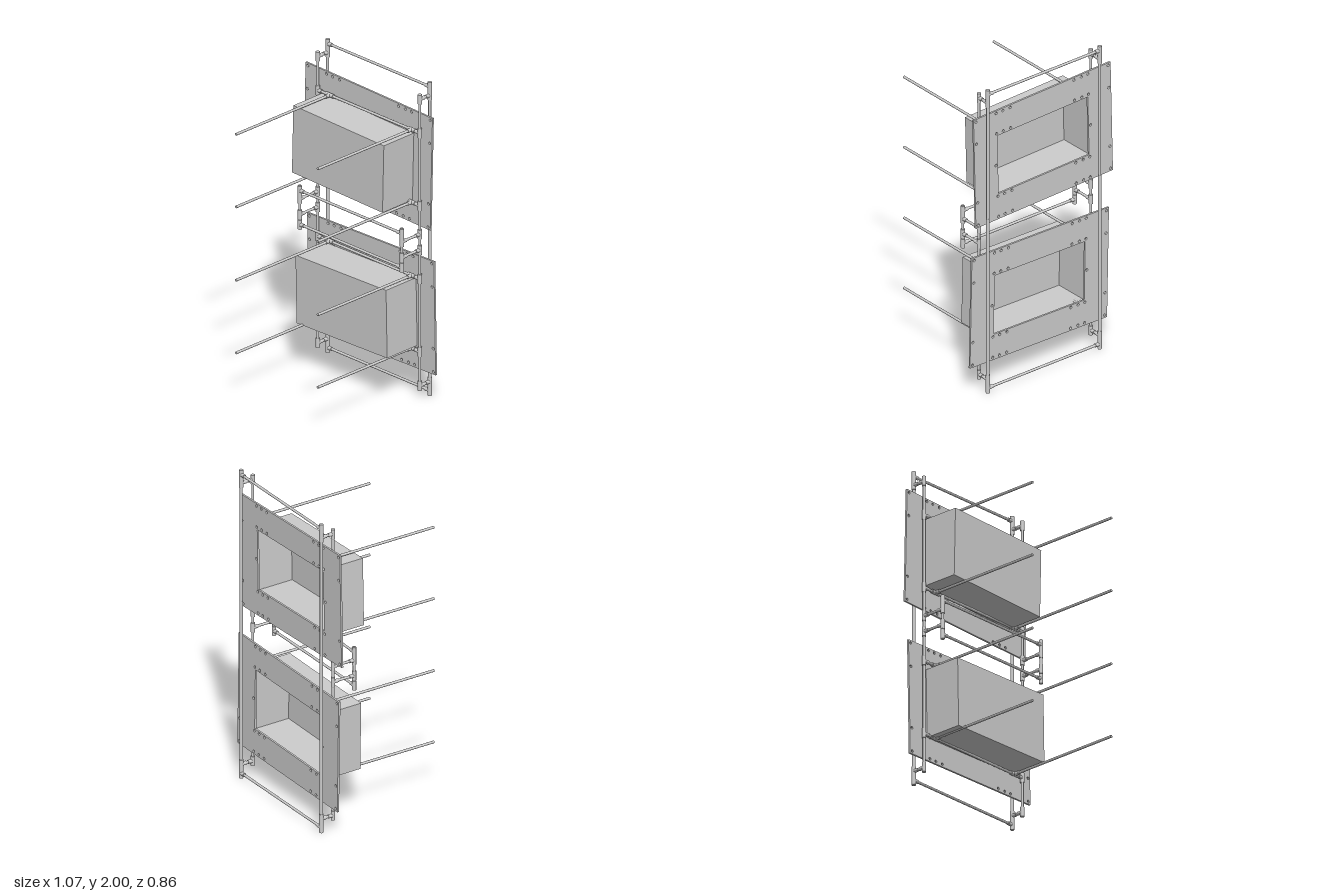
import * as THREE from 'three';

const mat = new THREE.MeshStandardMaterial({ color: 0xcccccc });
const PIPE = 0.008, SLEEVE = 0.0125;
const LEFT = 0.435, RIGHT = -0.4;             // upright x positions
const BACK = -0.418, FRONT = -0.337, MID = -0.19; // pipe planes in z

const V = (x, y, z) => new THREE.Vector3(x, y, z);

// Capped pipe between two points
function pipe(parent, name, a, b, r = PIPE) {
  const dir = b.clone().sub(a);
  const mesh = new THREE.Mesh(new THREE.CylinderGeometry(r, r, dir.length(), 20), mat);
  mesh.position.copy(a).add(b).multiplyScalar(0.5);
  mesh.quaternion.setFromUnitVectors(V(0, 1, 0), dir.normalize());
  mesh.name = name;
  parent.add(mesh);
}

// T fitting: a sleeve along the run and a short branch
function tee(parent, at, run, branch) {
  const g = new THREE.Group();
  g.name = 'teeFitting';
  pipe(g, 'sleeve', at.clone().addScaledVector(run, -0.03), at.clone().addScaledVector(run, 0.03), SLEEVE);
  pipe(g, 'branch', at, at.clone().addScaledVector(branch, 0.034), 0.0115);
  parent.add(g);
}

// Cross rail between the two uprights with a tee at each end
function rail(parent, name, y, z) {
  pipe(parent, name, V(RIGHT, y, z), V(LEFT, y, z));
  tee(parent, V(RIGHT, y, z), V(0, 1, 0), V(1, 0, 0));
  tee(parent, V(LEFT, y, z), V(0, 1, 0), V(-1, 0, 0));
}

// Short front-to-back connector with a tee at each end
function connector(parent, x, y, zA, zB) {
  pipe(parent, 'connector', V(x, y, zA), V(x, y, zB));
  tee(parent, V(x, y, zA), V(0, 1, 0), V(0, 0, 1));
  tee(parent, V(x, y, zB), V(0, 1, 0), V(0, 0, -1));
}

function rectPath(PathClass, w, h) {
  return new PathClass([[-1, -1], [1, -1], [1, 1], [-1, 1]]
    .map(([x, y]) => new THREE.Vector2(x * w / 2, y * h / 2)));
}

// Drilled plate with a rectangular window and a box projecting forward
function panel(name, x, y, tilt) {
  const g = new THREE.Group();
  g.name = name;
  const W = 1.03, H = 0.72, T = 0.012, bw = 0.735, bh = 0.43, depth = 0.247, wall = 0.01;

  // Plate and its bolt holes
  const shape = rectPath(THREE.Shape, W, H);
  shape.holes.push(rectPath(THREE.Path, 0.68, 0.385));
  const spots = [];
  for (const sx of [-1, 1]) {
    for (const sy of [-1, 1]) {
      spots.push([0.497 * sx, 0.343 * sy], [0.497 * sx, 0.195 * sy]);
      for (const hx of [0.345, 0.295, 0.24])
        spots.push([hx * sx, 0.343 * sy], [hx * sx, 0.208 * sy]);
    }
    spots.push([0.356 * sx, 0]);
  }
  for (const [hx, hy] of spots)
    shape.holes.push(new THREE.Path().absarc(hx, hy, 0.0085, 0, Math.PI * 2, true));
  const plate = new THREE.Mesh(
    new THREE.ExtrudeGeometry(shape, { depth: T, bevelEnabled: false, curveSegments: 10 }), mat);
  plate.position.z = -T / 2;
  plate.name = 'plate';
  g.add(plate);

  // Box walls and closed front
  const frame = rectPath(THREE.Shape, bw, bh);
  frame.holes.push(rectPath(THREE.Path, bw - 2 * wall, bh - 2 * wall));
  const walls = new THREE.Mesh(
    new THREE.ExtrudeGeometry(frame, { depth: depth - wall, bevelEnabled: false }), mat);
  walls.position.z = T / 2;
  walls.name = 'boxWalls';
  const face = new THREE.Mesh(new THREE.BoxGeometry(bw, bh, wall), mat);
  face.position.z = T / 2 + depth - wall / 2;
  face.name = 'boxFront';
  g.add(walls, face);

  g.position.set(x, y, -0.368);
  g.rotation.set(0, 0.008, tilt);
  return g;
}

export function createModel() {
  const model = new THREE.Group();
  model.name = 'panelRack';
  const frame = new THREE.Group();
  frame.name = 'pipeFrame';
  model.add(frame);

  // Uprights and front-to-back connectors on both sides
  for (const x of [RIGHT, LEFT]) {
    pipe(frame, 'backUprightLower', V(x, 0, BACK), V(x, 1.15, BACK), 0.0105);
    pipe(frame, 'backUprightUpper', V(x, 1.15, BACK), V(x, 2, BACK), 0.009);
    pipe(frame, 'frontUpright', V(x, 0.06, FRONT), V(x, 1.945, FRONT));
    pipe(frame, 'middlePost', V(x, 0.865, MID), V(x, 1.143, MID));
    for (const y of [0.09, 1.915]) connector(frame, x, y, BACK, FRONT);
    for (const y of [0.955, 1.055]) connector(frame, x, y, FRONT, MID);
  }

  // Cross rails
  for (const y of [0.033, 1.97]) rail(frame, 'backRail', y, BACK);
  for (const y of [0.892, 1.108]) rail(frame, 'middleRail', y, MID);

  // Front rails, each carrying two long forward rods
  for (const y of [0.307, 0.77, 1.237, 1.7]) {
    rail(frame, 'frontRail', y, FRONT);
    for (const x of [-0.302, 0.367]) {
      tee(frame, V(x, y, FRONT), V(1, 0, 0), V(0, 0, 1));
      pipe(frame, 'forwardRod', V(x, y, FRONT), V(x, y, 0.43));
    }
  }

  // Two slightly tilted panels
  model.add(panel('upperPanel', -0.015, 1.459, -0.025));
  model.add(panel('lowerPanel', 0.013, 0.527, 0.02));
  return model;
}
